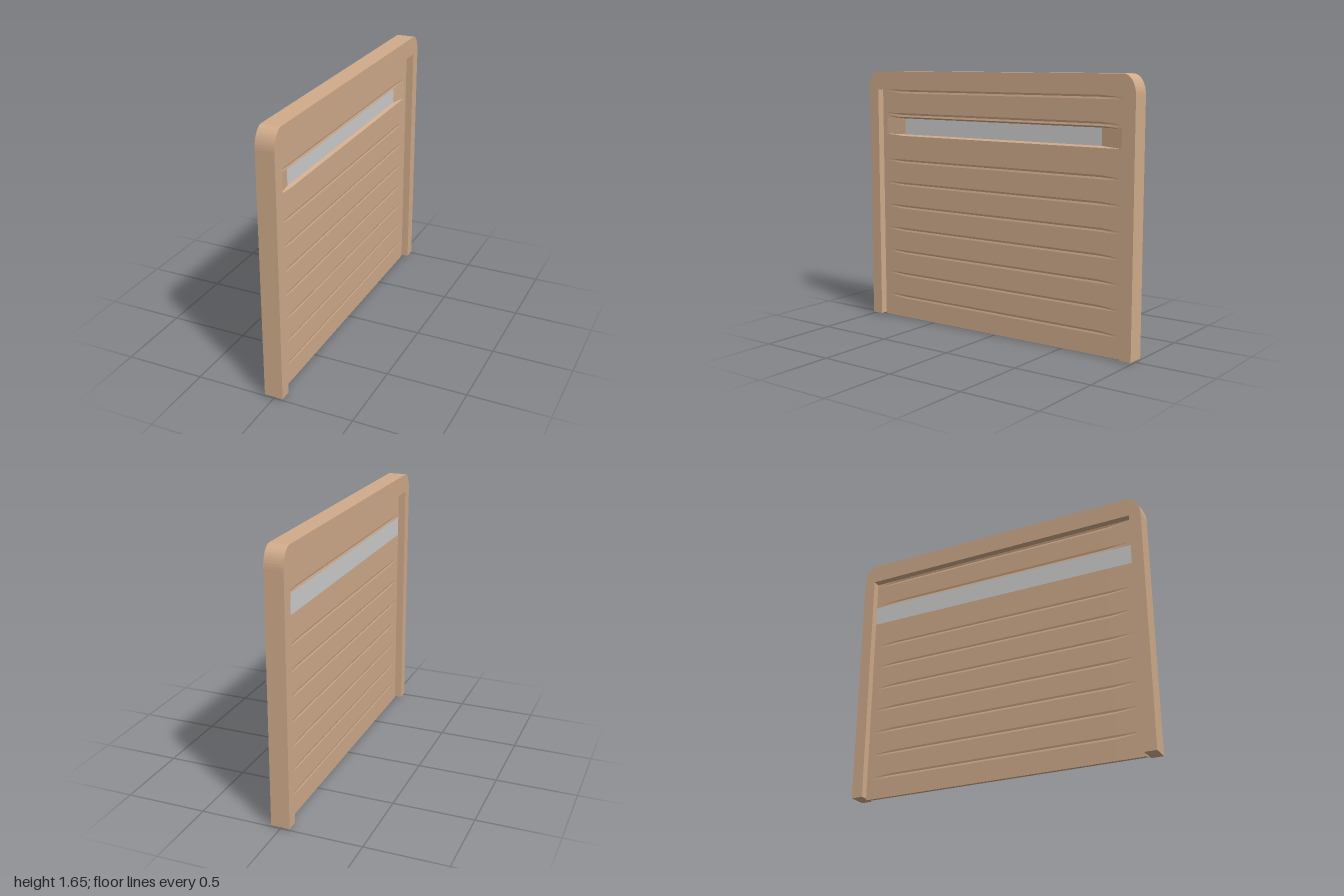
import * as THREE from 'three';

const wood = new THREE.MeshStandardMaterial({ color: 0xd0ab8b });
wood.name = 'tan paint';
const glass = new THREE.MeshStandardMaterial({ color: 0xcecece });
glass.name = 'grey glass';

const HALF_X = 0.058, HALF_Z = 1, TOP = 1.655, FOOT = 0.01; // frame
const IN_Z = 0.925, IN_TOP = 1.535, SKIN = 0.011; // door panel
const WINDOW = [1.23, 1.24, 1.345, 1.355];

// Upside-down U with elliptical top corners
function makeFrame() {
  const rz = 0.08, ry = 0.12;
  const s = new THREE.Shape();
  s.moveTo(-HALF_Z, FOOT);
  s.lineTo(-IN_Z, FOOT);
  s.lineTo(-IN_Z, IN_TOP);
  s.lineTo(IN_Z, IN_TOP);
  s.lineTo(IN_Z, FOOT);
  s.lineTo(HALF_Z, FOOT);
  s.lineTo(HALF_Z, TOP - ry);
  s.absellipse(HALF_Z - rz, TOP - ry, rz, ry, 0, Math.PI / 2, false, 0);
  s.lineTo(-HALF_Z + rz, TOP);
  s.absellipse(-HALF_Z + rz, TOP - ry, rz, ry, Math.PI / 2, Math.PI, false, 0);
  const geo = new THREE.ExtrudeGeometry(s, { depth: HALF_X * 2, bevelEnabled: false, curveSegments: 6 });
  geo.translate(0, 0, -HALF_X);
  geo.rotateY(-Math.PI / 2);
  const mesh = new THREE.Mesh(geo, wood);
  mesh.name = 'doorFrame';
  return mesh;
}

// Rows of [height, depth] : shallow grooves between slats, plus the window recess
function makeRows(recess) {
  const rows = [[0, 0]];
  for (let i = 0; i < 10; i++) {
    const y = 0.14 + i * 0.1535;
    if (i === 7) {
      WINDOW.forEach((h, k) => rows.push([h, k === 1 || k === 2 ? recess : 0]));
    } else {
      rows.push([y - 0.012, 0], [y, 0.003]);
      if (y + 0.012 < IN_TOP) rows.push([y + 0.012, 0]);
    }
  }
  rows.push([IN_TOP, 0]);
  return rows;
}

// One face of the door; depths fade to nothing toward both ends
function makeSkin(side, recess) {
  const cols = [[-IN_Z, 0], [-0.89, 0], [-0.75, 1], [0.75, 1], [0.89, 0], [IN_Z, 0]];
  const rows = makeRows(recess);
  const parts = { wood: [], glass: [] };
  const point = (c, r) => [side * (SKIN - rows[r][1] * cols[c][1]), rows[r][0], cols[c][0]];
  for (let r = 0; r < rows.length - 1; r++) {
    for (let c = 0; c < cols.length - 1; c++) {
      const y = (rows[r][0] + rows[r + 1][0]) / 2;
      const isGlass = side > 0
        ? c === 2 && y > WINDOW[1] && y < WINDOW[2]
        : y > WINDOW[0] && y < WINDOW[3];
      const a = point(c, r), b = point(c + 1, r), d = point(c + 1, r + 1), e = point(c, r + 1);
      const tris = side > 0 ? [a, d, b, a, e, d] : [a, b, d, a, d, e];
      parts[isGlass ? 'glass' : 'wood'].push(...tris.flat());
    }
  }
  const group = new THREE.Group();
  group.name = side > 0 ? 'outerDoorFace' : 'innerDoorFace';
  for (const [key, mat] of [['wood', wood], ['glass', glass]]) {
    const geo = new THREE.BufferGeometry();
    geo.setAttribute('position', new THREE.Float32BufferAttribute(parts[key], 3));
    geo.computeVertexNormals();
    const mesh = new THREE.Mesh(geo, mat);
    mesh.name = key === 'wood' ? 'slats' : 'windowPane';
    group.add(mesh);
  }
  return group;
}

export function createModel() {
  const model = new THREE.Group();
  model.name = 'garageDoor';
  model.add(makeFrame(), makeSkin(1, 0.02), makeSkin(-1, 0));

  // Closes the lower edge of the door
  const edge = new THREE.Mesh(new THREE.BoxGeometry(SKIN * 2 - 0.001, 0.012, IN_Z * 2), wood);
  edge.position.y = 0.006;
  edge.name = 'bottomEdge';
  model.add(edge);
  return model;
}
